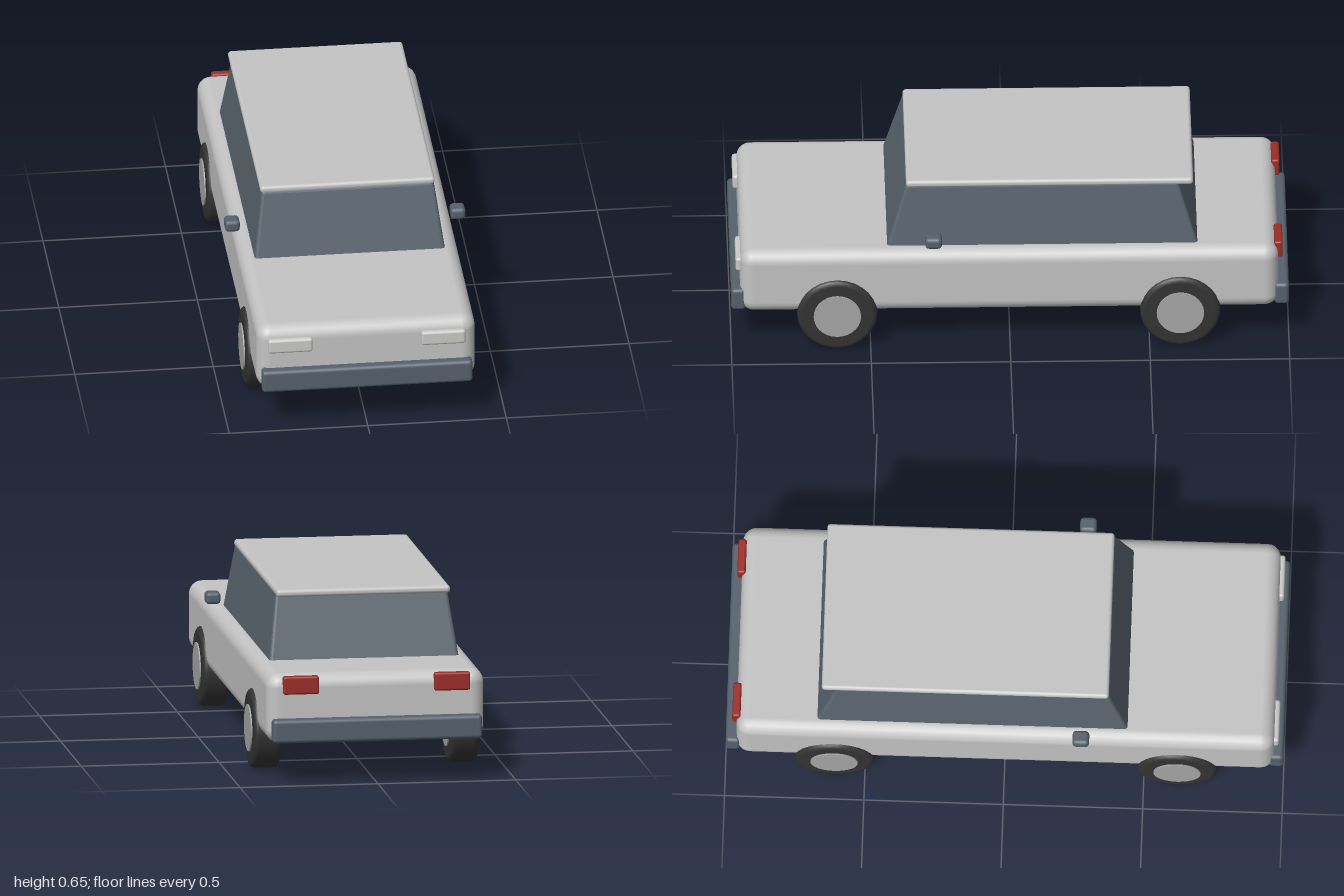
import * as THREE from 'three';
import { RoundedBoxGeometry } from 'three/addons/geometries/RoundedBoxGeometry.js';

const material = (name, color) => {
  const m = new THREE.MeshStandardMaterial({ color });
  m.name = name;
  return m;
};

export function createModel() {
  const car = new THREE.Group();
  car.name = 'car';
  const paint = material('light grey paint', 0xc4c4c4);
  const glass = material('tinted glass', 0x5a646e);
  const trim = material('slate trim', 0x56616c);
  const rubber = material('black rubber', 0x333333);
  const metal = material('hub grey', 0xa6a6a6);
  const lamp = material('headlight lens', 0xcacac8);
  const red = material('red lens', 0x9c2c26);

  const add = (name, geometry, mat, x = 0, y = 0, z = 0) => {
    const mesh = new THREE.Mesh(geometry, mat);
    mesh.name = name;
    mesh.position.set(x, y, z);
    car.add(mesh);
    return mesh;
  };
  const box = (name, mat, size, pos, radius, segments = 3) =>
    add(name, new RoundedBoxGeometry(...size, segments, radius), mat, ...pos);

  // Lower body
  box('body', paint, [0.79, 0.255, 1.93], [0, 0.2725, 0.003], 0.05);

  // Glass cabin, narrowing towards the roof
  const cabin = new RoundedBoxGeometry(0.69, 0.25, 1.12, 2, 0.012);
  const p = cabin.attributes.position;
  for (let i = 0; i < p.count; i++) {
    const t = (p.getY(i) + 0.125) / 0.25;
    p.setX(i, p.getX(i) * (1 - 0.1 * t));
    p.setZ(i, p.getZ(i) * (1 - 0.13 * t));
  }
  cabin.computeVertexNormals();
  add('cabin', cabin, glass, 0, 0.512, -0.116);

  // Roof panel
  box('roof', paint, [0.63, 0.027, 1.03], [0, 0.6385, -0.143], 0.012);

  // Bumpers
  for (const [name, z] of [['frontBumper', 0.974], ['rearBumper', -0.974]])
    box(name, trim, [0.76, 0.086, 0.052], [0, 0.198, z], 0.014);

  // Tyre profile with rounded shoulders, and hub showing on both faces
  const r = 0.144, h = 0.051, b = 0.02;
  const profile = [new THREE.Vector2(0, -h)];
  for (const side of [-1, 1])
    for (let i = 0; i <= 4; i++) {
      const a = ((side < 0 ? i - 4 : i) / 4) * Math.PI / 2;
      profile.push(new THREE.Vector2(r - b + b * Math.cos(a), side * (h - b) + b * Math.sin(a)));
    }
  profile.push(new THREE.Vector2(0, h));
  const tyre = new THREE.LatheGeometry(profile, 28).rotateZ(Math.PI / 2);
  const hub = new THREE.CylinderGeometry(0.085, 0.085, 0.112, 28).rotateZ(Math.PI / 2);

  // Paired parts
  for (const [side, s] of [['left', 1], ['right', -1]]) {
    for (const [end, z] of [['Front', 0.62], ['Rear', -0.61]]) {
      add(side + end + 'Tyre', tyre, rubber, s * 0.358, 0.145, z);
      add(side + end + 'Hub', hub, metal, s * 0.358, 0.145, z);
    }
    box(side + 'Headlight', lamp, [0.16, 0.054, 0.036], [s * 0.276, 0.332, 0.966], 0.01);
    box(side + 'TailLight', red, [0.13, 0.066, 0.03], [s * 0.274, 0.362, -0.963], 0.008);
    box(side + 'Mirror', trim, [0.054, 0.044, 0.06], [s * 0.407, 0.458, 0.275], 0.014, 2);
  }
  return car;
}
